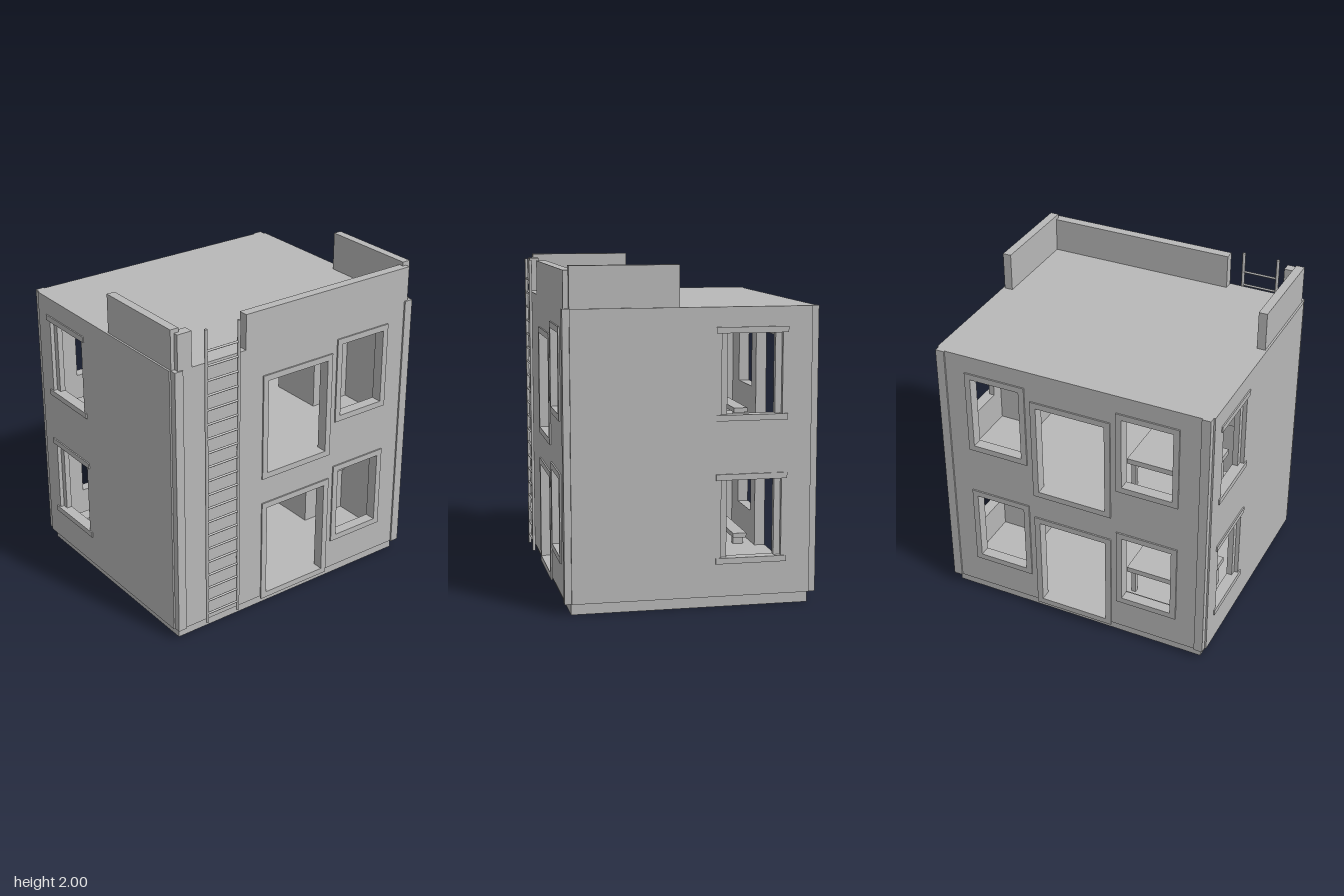
import * as THREE from 'three';

export function createModel() {
  const model = new THREE.Group();
  model.name = 'twoStoreyHouse';
  const plaster = new THREE.MeshStandardMaterial({ color: 0xb8b8b8 });

  const add = (name, geometry) => {
    const mesh = new THREE.Mesh(geometry, plaster);
    mesh.name = name;
    model.add(mesh);
    return mesh;
  };
  // Box given by its low and high limits on each axis
  const box = (name, x0, x1, y0, y1, z0, z1) =>
    add(name, new THREE.BoxGeometry(x1 - x0, y1 - y0, z1 - z0)
      .translate((x0 + x1) / 2, (y0 + y1) / 2, (z0 + z1) / 2));
  const rect = (P, [a0, a1, b0, b1]) => {
    const p = new P();
    p.moveTo(a0, b0);
    p.lineTo(a1, b0);
    p.lineTo(a1, b1);
    p.lineTo(a0, b1);
    p.closePath();
    return p;
  };
  // Upright panel with rectangular holes
  const panel = (limits, holes, depth) => {
    const shape = rect(THREE.Shape, limits);
    shape.holes = holes.map((h) => rect(THREE.Path, h));
    return new THREE.ExtrudeGeometry(shape, { depth, bevelEnabled: false });
  };

  const low = 0.07, top = 1.76;
  const storeys = [[0.30, 0.76], [1.14, 1.61]];
  const doors = [[-0.22, 0.22, 0.09, 0.69], [-0.22, 0.22, 0.93, 1.53]];
  const rightWindows = storeys.map(([a, b]) => [0.33, 0.65, a, b]);
  const leftWindows = storeys.map(([a, b]) => [-0.65, -0.33, a, b]);

  // Foundation, floors and roof
  box('foundation', -0.845, 0.845, 0, low, -0.72, 0.69);
  box('groundFloor', -0.83, 0.83, low, 0.09, -0.70, 0.67);
  box('roof', -0.86, 0.86, 1.68, top, -0.75, 0.715);
  // Upper floor leaves a stairwell at the front left
  box('upperFloorMain', -0.25, 0.83, 0.85, 0.93, -0.70, 0.67);
  box('upperFloorBack', -0.83, -0.25, 0.85, 0.93, -0.70, -0.08);
  box('upperFloorFront', -0.83, -0.25, 0.85, 0.93, 0.50, 0.67);
  box('stairwellPartition', -0.31, -0.25, 0.09, 0.85, -0.08, 0.50);

  // Front and back walls
  const frontHoles = [...doors, ...rightWindows];
  const backHoles = [...frontHoles, ...leftWindows];
  add('frontWall', panel([-0.85, 0.85, low, top], frontHoles, 0.06)).position.z = 0.66;
  add('backWall', panel([-0.85, 0.85, low, top], backHoles, 0.06)).position.z = -0.75;

  // Thin raised surrounds of the openings
  const surround = (name, h, z) => {
    const m = 0.037;
    add(name, panel([h[0] - m, h[1] + m, h[2] - m, h[3] + m], [h], 0.009)).position.z = z;
  };
  frontHoles.forEach((h) => surround('frontSurround', h, 0.72));
  backHoles.forEach((h) => surround('backSurround', h, -0.759));

  // Side walls, recessed jambs, lintels, sills, corner posts and parapets
  for (const s of [1, -1]) {
    const side = s > 0 ? 'left' : 'right';
    const z0 = s > 0 ? -0.545 : -0.59, z1 = z0 + 0.36;
    const span = (name, a, b, ...rest) =>
      box(side + name, Math.min(s * a, s * b), Math.max(s * a, s * b), ...rest);
    const holes = storeys.map(([a, b]) => [z0, z1, a, b]);
    const wall = add(side + 'Wall', panel([-0.72, 0.69, low, top], holes, 0.06).rotateY(-Math.PI / 2));
    wall.position.x = s > 0 ? 0.88 : -0.82;
    for (const [a, b] of storeys) {
      span('WindowJamb', 0.82, 0.855, a, b, z0, z0 + 0.038);
      span('WindowJamb', 0.82, 0.855, a, b, z1 - 0.038, z1);
      span('WindowSill', 0.87, 0.888, a - 0.035, a, z0 - 0.032, z1 + 0.032);
      span('WindowLintel', 0.87, 0.888, b, b + 0.035, z0 - 0.032, z1 + 0.032);
    }
    span('FrontCornerPost', 0.815, 0.87, low, top, 0.66, 0.73);
    span('BackCornerPost', 0.815, 0.87, low, top, -0.76, -0.69);
    span('RoofEdge', 0.85, 0.88, 1.70, top, -0.72, 0.69);
    span('SideParapet', 0.815, 0.868, top, 2.0, 0.06, 0.69);
  }
  box('frontParapet', -0.38, 0.84, top, 1.975, 0.66, 0.72);
  box('frontParapetStub', -0.845, -0.75, top, 1.975, 0.66, 0.72);

  // Ladder on the front wall
  const ladderZ = 0.75;
  for (const x of [-0.677, -0.453]) {
    add('ladderRail', new THREE.CylinderGeometry(0.01, 0.01, 1.905, 10))
      .position.set(x, 1.0225, ladderZ);
  }
  for (let i = 0; i < 20; i++) {
    add('ladderRung', new THREE.CylinderGeometry(0.007, 0.007, 0.224, 8).rotateZ(Math.PI / 2))
      .position.set(-0.565, 0.13 + i * 0.0903, ladderZ);
  }

  // Table and bench on each storey
  for (const y of [0.09, 0.93]) {
    box('tableTop', -0.74, -0.23, y + 0.165, y + 0.2, -0.47, -0.12);
    for (const x of [-0.72, -0.28]) {
      for (const z of [-0.45, -0.17]) {
        box('tableLeg', x, x + 0.03, y, y + 0.165, z, z + 0.03);
      }
    }
    box('benchSeat', -0.74, -0.24, y + 0.05, y + 0.08, -0.64, -0.55);
    box('benchFoot', -0.70, -0.66, y, y + 0.05, -0.63, -0.56);
    box('benchFoot', -0.32, -0.28, y, y + 0.05, -0.63, -0.56);
  }

  // Counter below, tall cupboard above
  box('counterBody', 0.51, 0.82, 0.09, 0.385, -0.18, 0.22);
  box('counterTop', 0.48, 0.82, 0.385, 0.42, -0.20, 0.24);
  box('cupboard', 0.55, 0.82, 0.93, 1.68, -0.14, 0.22);

  return model;
}
